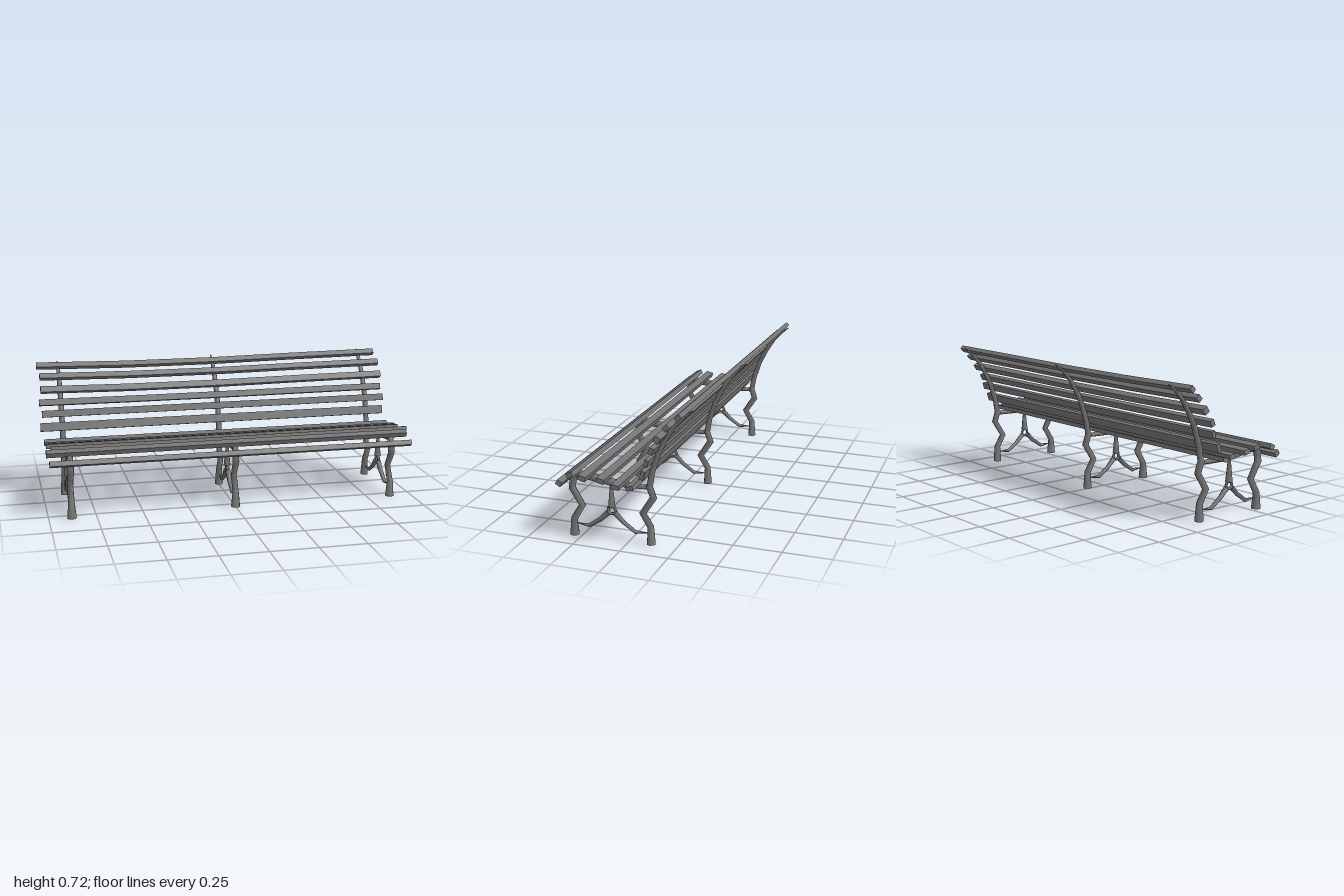
import * as THREE from 'three';

const iron = new THREE.MeshStandardMaterial({ color: 0x757575 });
iron.name = 'grey';

// Tapered bar swept through [z, y, radius] stations in the side plane, with flat end caps
function bar(name, stations, sides = 8) {
  const pos = [], idx = [];
  const pts = stations.map(([z, y]) => new THREE.Vector3(0, y, z));
  const rings = stations.map(([, , r], i) => {
    const a = pts[Math.max(i - 1, 0)], b = pts[i], c = pts[Math.min(i + 1, pts.length - 1)];
    const d1 = (i ? b.clone().sub(a) : c.clone().sub(b)).normalize();
    const d2 = (i < pts.length - 1 ? c.clone().sub(b) : d1.clone()).normalize();
    const t = d1.clone().add(d2).normalize();
    const mitre = 1 / Math.max(t.dot(d1), 0.7);
    return Array.from({ length: sides }, (_, j) => {
      const n = Math.cos((j / sides) * Math.PI * 2) * r * mitre;
      return [Math.sin((j / sides) * Math.PI * 2) * r, b.y - t.z * n, b.z + t.y * n];
    });
  });
  rings.forEach((ring) => ring.forEach((p) => pos.push(...p)));
  for (let i = 0; i < rings.length - 1; i++) {
    for (let j = 0; j < sides; j++) {
      const k = (j + 1) % sides;
      const a = i * sides + j, b = i * sides + k, c = b + sides, d = a + sides;
      idx.push(a, b, c, a, c, d);
    }
  }
  // caps use their own vertices so the ends stay sharp
  [[rings[0], true], [rings[rings.length - 1], false]].forEach(([ring, start]) => {
    const base = pos.length / 3;
    ring.forEach((p) => pos.push(...p));
    for (let j = 1; j < sides - 1; j++) {
      idx.push(base, base + (start ? j + 1 : j), base + (start ? j : j + 1));
    }
  });
  const geo = new THREE.BufferGeometry();
  geo.setAttribute('position', new THREE.Float32BufferAttribute(pos, 3));
  geo.setIndex(idx);
  geo.computeVertexNormals();
  const mesh = new THREE.Mesh(geo, iron);
  mesh.name = name;
  return mesh;
}

// One support frame: legs, seat rail, back upright and splayed brace
function frame() {
  const g = new THREE.Group();
  g.name = 'supportFrame';
  g.add(bar('frontLeg', [
    [0.293, 0.005, 0.025], [0.293, 0.09, 0.017], [0.247, 0.168, 0.016],
    [0.3, 0.255, 0.018], [0.293, 0.3, 0.019], [0.272, 0.335, 0.016],
  ]));
  g.add(bar('seatRail', [
    [0.285, 0.331, 0.016], [0.25, 0.332, 0.02], [0.185, 0.325, 0.021],
    [0.09, 0.311, 0.02], [-0.01, 0.307, 0.015], [-0.11, 0.307, 0.011],
  ]));
  g.add(bar('backLeg', [
    [-0.12, 0.01, 0.023], [-0.118, 0.1, 0.017], [-0.077, 0.168, 0.016],
    [-0.133, 0.256, 0.017], [-0.109, 0.325, 0.017],
  ]));
  g.add(bar('backUpright', [
    [-0.112, 0.3, 0.016], [-0.128, 0.39, 0.015], [-0.16, 0.49, 0.015],
    [-0.2, 0.57, 0.014], [-0.245, 0.64, 0.013], [-0.29, 0.688, 0.01], [-0.338, 0.721, 0.002],
  ]));

  g.add(bar('braceStem', [[0.088, 0.3, 0.007], [0.088, 0.18, 0.019]]));
  const ring = new THREE.Mesh(new THREE.TorusGeometry(0.021, 0.008, 5, 7), iron);
  ring.name = 'braceRing';
  ring.rotation.y = Math.PI / 2;
  ring.position.set(0, 0.162, 0.088);
  g.add(ring);
  for (const s of [1, -1]) {
    g.add(bar(s > 0 ? 'frontBraceArm' : 'backBraceArm', [
      [0.088 + s * 0.018, 0.148, 0.015], [0.088 + s * 0.062, 0.105, 0.012],
      [0.088 + s * 0.125, 0.062, 0.01], [0.088 + s * 0.188, 0.066, 0.002],
    ], 6));
  }
  return g;
}

// Slat with a slight sag, strongest left of the middle
function slat(name, [z, y, w, h, tilt, shift, sag]) {
  const geo = new THREE.BoxGeometry(1.97, h, w, 4, 1, 1);
  const p = geo.attributes.position;
  const droop = [0, 0.9, 1, 0.4, 0];
  for (let i = 0; i < p.count; i++) {
    const k = Math.round((p.getX(i) / 1.97 + 0.5) * 4);
    p.setY(i, p.getY(i) - sag * droop[k]);
  }
  geo.computeVertexNormals();
  const mesh = new THREE.Mesh(geo, iron);
  mesh.name = name;
  mesh.position.set(shift, y, z);
  mesh.rotation.x = tilt;
  return mesh;
}

export function createModel() {
  const bench = new THREE.Group();
  bench.name = 'bench';

  for (const x of [-0.88, 0, 0.88]) {
    const f = frame();
    f.position.x = x;
    bench.add(f);
  }

  // z, y, width, height, tilt, sideways shift, sag
  const seat = [
    [0.324, 0.31, 0.031, 0.027, -0.52, -0.003, 0],
    [0.272, 0.354, 0.034, 0.027, 0.41, -0.015, 0],
    [0.193, 0.358, 0.04, 0.025, -0.25, 0.015, 0],
    [0.104, 0.349, 0.04, 0.025, -0.2, -0.003, 0],
    [0.019, 0.334, 0.04, 0.024, -0.1, 0.015, 0],
    [-0.048, 0.33, 0.038, 0.022, 0.2, -0.003, 0],
  ];
  const back = [
    [-0.11, 0.4, 0.022, 0.046, -0.3, -0.015, 0],
    [-0.135, 0.468, 0.02, 0.037, -0.28, -0.003, 0],
    [-0.156, 0.528, 0.026, 0.034, -0.38, -0.015, 0.003],
    [-0.19, 0.592, 0.031, 0.034, -0.55, -0.003, 0.009],
    [-0.237, 0.656, 0.026, 0.032, -0.75, -0.003, 0.011],
    [-0.292, 0.707, 0.025, 0.031, -0.8, -0.015, 0.014],
  ];
  seat.forEach((s, i) => bench.add(slat('seatSlat' + (i + 1), s)));
  back.forEach((s, i) => bench.add(slat('backSlat' + (i + 1), s)));
  return bench;
}
